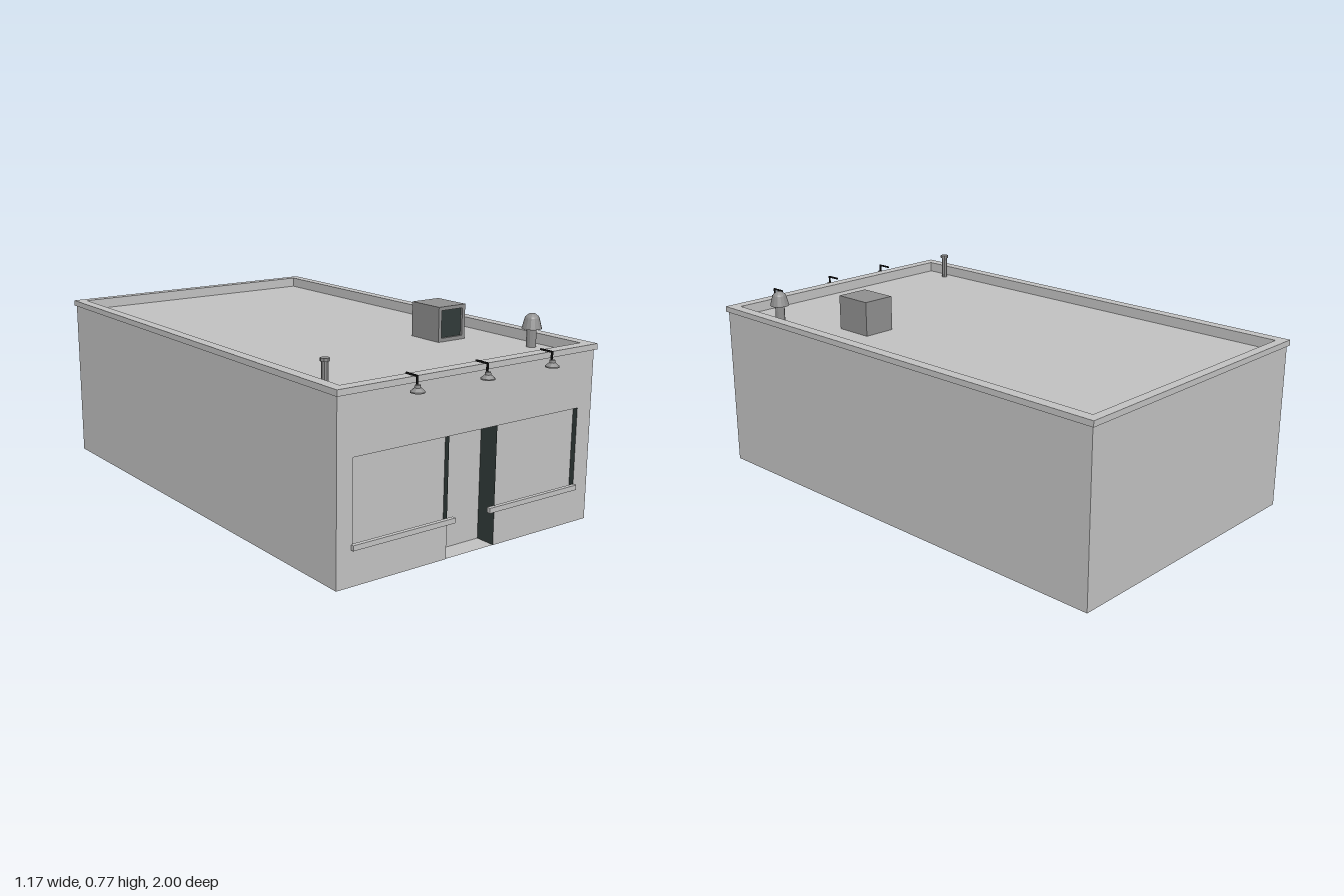
import * as THREE from 'three';

export function createModel() {
  const model = new THREE.Group();
  const material = (name, color, side = THREE.FrontSide) => {
    const m = new THREE.MeshStandardMaterial({ color, side });
    m.name = name;
    return m;
  };
  const wallGrey = material('wall grey', 0xc0c0c0, THREE.DoubleSide);
  const metalGrey = material('metal grey', 0x8e8e8e, THREE.DoubleSide);
  const darkGlass = material('dark green grey', 0x303a38, THREE.DoubleSide);
  const black = material('black', 0x151515);

  const add = (name, geometry, mat, x = 0, y = 0, z = 0, parent = model) => {
    const mesh = new THREE.Mesh(geometry, mat);
    mesh.name = name;
    mesh.position.set(x, y, z);
    parent.add(mesh);
    return mesh;
  };
  const box = (name, mat, x0, x1, y0, y1, z0, z1, parent) =>
    add(name, new THREE.BoxGeometry(x1 - x0, y1 - y0, z1 - z0), mat,
      (x0 + x1) / 2, (y0 + y1) / 2, (z0 + z1) / 2, parent);
  // Flat panels facing z, x and y
  const panelZ = (name, mat, x0, x1, y0, y1, z) =>
    add(name, new THREE.PlaneGeometry(x1 - x0, y1 - y0), mat, (x0 + x1) / 2, (y0 + y1) / 2, z);
  const panelX = (name, mat, x, y0, y1, z0, z1, dir) =>
    add(name, new THREE.PlaneGeometry(z1 - z0, y1 - y0).rotateY(dir * Math.PI / 2), mat,
      x, (y0 + y1) / 2, (z0 + z1) / 2);
  const panelY = (name, mat, x0, x1, y, z0, z1) =>
    add(name, new THREE.PlaneGeometry(x1 - x0, z1 - z0).rotateX(-Math.PI / 2), mat,
      (x0 + x1) / 2, y, (z0 + z1) / 2);

  const W = 0.578, BACK = -0.992, FRONT = 0.915, ROOF = 0.632;
  const DOOR = 0.11, HEAD = 0.44, SILL = 0.138;
  const winLeft = 0.508, winRight = -0.513;
  const paneZ = FRONT - 0.02, doorZ = FRONT - 0.08;

  // Shell, open underneath
  const front = new THREE.Shape([
    [-W, 0], [-DOOR, 0], [-DOOR, SILL], [winRight, SILL], [winRight, HEAD], [winLeft, HEAD],
    [winLeft, SILL], [DOOR, SILL], [DOOR, 0], [W, 0], [W, ROOF], [-W, ROOF],
  ].map(([x, y]) => new THREE.Vector2(x, y)));
  add('frontWall', new THREE.ShapeGeometry(front), wallGrey, 0, 0, FRONT);
  add('backWall', new THREE.PlaneGeometry(2 * W, ROOF).rotateY(Math.PI), wallGrey, 0, ROOF / 2, BACK);
  panelX('leftWall', wallGrey, W, 0, ROOF, BACK, FRONT, 1);
  panelX('rightWall', wallGrey, -W, 0, ROOF, BACK, FRONT, -1);
  panelY('roof', wallGrey, -W, W, ROOF, BACK, FRONT);

  // Parapet and its overhanging coping
  const ring = (name, w, back, frontZ, y0, y1) => {
    const rect = (Type, hw, zb, zf) => new Type([
      new THREE.Vector2(-hw, -zf), new THREE.Vector2(hw, -zf),
      new THREE.Vector2(hw, -zb), new THREE.Vector2(-hw, -zb),
    ]);
    const shape = rect(THREE.Shape, w, back, frontZ);
    shape.holes.push(rect(THREE.Path, 0.542, -0.963, 0.88));
    const g = new THREE.ExtrudeGeometry(shape, { depth: y1 - y0, bevelEnabled: false });
    add(name, g.rotateX(-Math.PI / 2), wallGrey, 0, y0, 0);
  };
  ring('parapet', W, BACK, FRONT, ROOF, 0.65);
  ring('coping', 0.585, -1, 0.925, 0.65, 0.672);

  // Recessed shop windows with ledges
  for (const [x0, x1, jamb, s0, s1] of [
    [winRight, -DOOR, winRight, -0.518, -0.08],
    [DOOR, winLeft, winLeft, 0.08, 0.513],
  ]) {
    panelZ('windowPane', wallGrey, x0, x1, SILL, HEAD, paneZ);
    panelX('windowJamb', darkGlass, jamb, SILL, HEAD, paneZ, FRONT, jamb < 0 ? 1 : -1);
    panelY('windowBottom', wallGrey, x0, x1, SILL, paneZ, FRONT);
    panelY('windowHead', wallGrey, x0, x1, HEAD, paneZ, FRONT);
    box('windowLedge', wallGrey, s0, s1, 0.128, 0.147, FRONT - 0.005, 0.926);
  }

  // Recessed doorway
  panelZ('door', wallGrey, -DOOR, DOOR, 0, HEAD, doorZ);
  for (const s of [-1, 1]) panelX('doorJamb', darkGlass, s * DOOR, 0, HEAD, doorZ, FRONT, -s);
  panelY('doorStep', wallGrey, -DOOR, DOOR, 0.001, doorZ, FRONT);
  panelY('doorHead', wallGrey, -DOOR, DOOR, HEAD, doorZ, FRONT);

  const lathe = (name, points, segments, x, z, parent) =>
    add(name, new THREE.LatheGeometry(points.map(([r, y]) => new THREE.Vector2(r, y)), segments)
      .toNonIndexed(), metalGrey, x, 0, z, parent).geometry.computeVertexNormals();

  // Gooseneck lamps over the front
  for (const x of [-0.303, 0, 0.303]) {
    const lamp = new THREE.Group();
    lamp.name = 'wallLamp';
    lamp.position.x = x;
    model.add(lamp);
    box('lampArm', black, -0.003, 0.003, 0.682, 0.688, 0.915, 0.973, lamp);
    box('lampStem', black, -0.003, 0.003, 0.655, 0.688, 0.967, 0.973, lamp);
    lathe('lampShade', [[0.025, 0.632], [0.025, 0.636], [0.011, 0.648], [0.01, 0.657], [0, 0.658]],
      12, 0, 0.974, lamp);
  }

  // Roof pipe and mushroom vent
  lathe('roofPipe', [[0.012, ROOF], [0.012, 0.721], [0.017, 0.721], [0.017, 0.732], [0, 0.732]],
    8, -0.508, 0.755);
  lathe('ventStem', [[0.019, ROOF], [0.019, 0.705]], 12, 0.485, 0.692);
  lathe('ventCap', [[0, 0.701], [0.038, 0.701], [0.037, 0.706], [0.027, 0.742], [0.024, 0.747],
    [0.013, 0.756], [0, 0.759]], 14, 0.485, 0.692);

  // Air unit with a recessed dark grille
  const unit = new THREE.Group();
  unit.name = 'airUnit';
  model.add(unit);
  box('unitBody', metalGrey, 0.25, 0.382, ROOF, 0.767, 0.282, 0.428, unit);
  box('unitGrille', darkGlass, 0.264, 0.368, 0.646, 0.753, 0.428, 0.43, unit);
  box('unitFrameTop', metalGrey, 0.25, 0.382, 0.753, 0.767, 0.428, 0.439, unit);
  box('unitFrameBottom', metalGrey, 0.25, 0.382, ROOF, 0.646, 0.428, 0.439, unit);
  box('unitFrameSide', metalGrey, 0.25, 0.264, 0.646, 0.753, 0.428, 0.439, unit);
  box('unitFrameSide', metalGrey, 0.368, 0.382, 0.646, 0.753, 0.428, 0.439, unit);

  return model;
}
